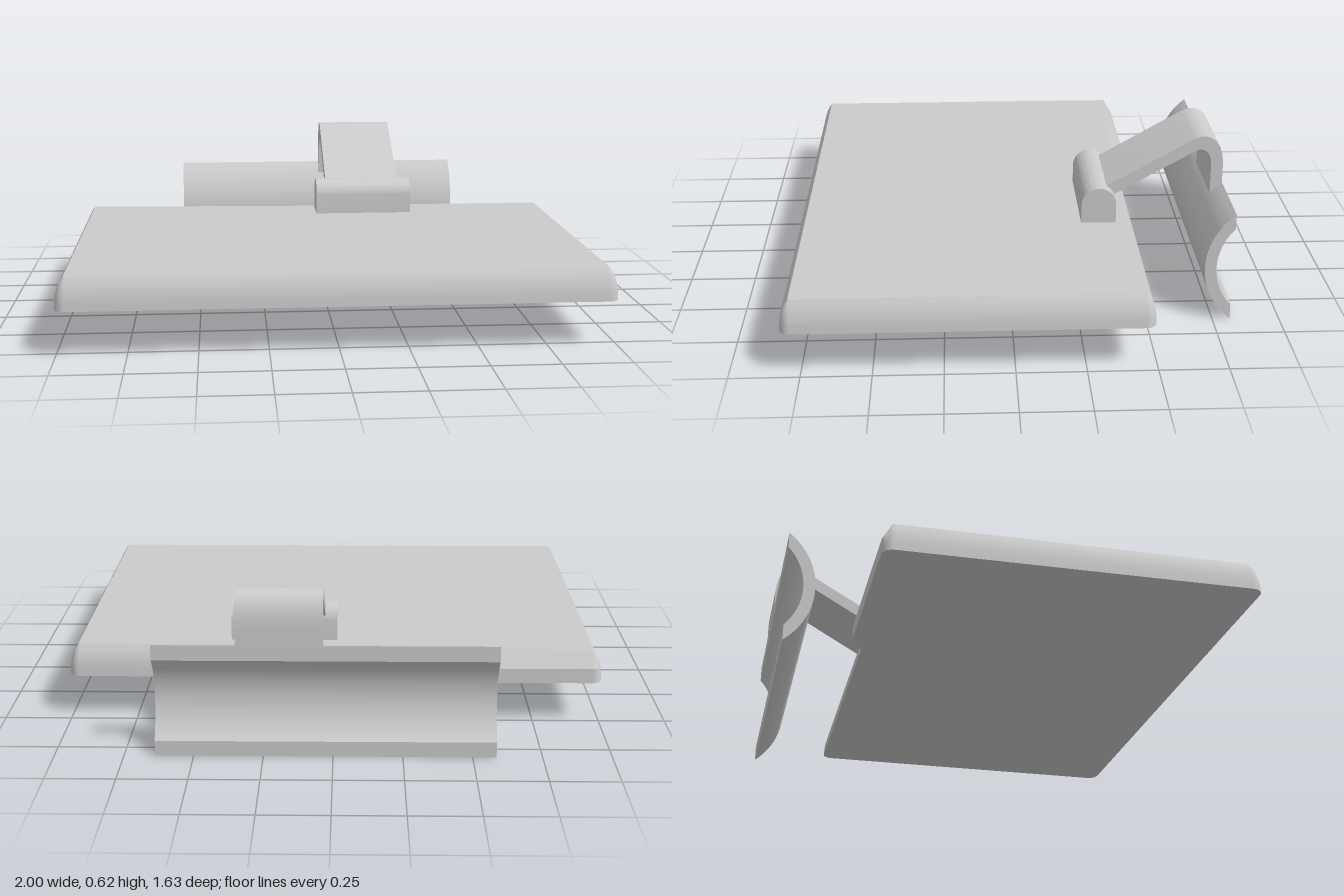
import * as THREE from 'three';
import { toCreasedNormals } from 'three/addons/utils/BufferGeometryUtils.js';

const material = new THREE.MeshStandardMaterial({ color: 0xcccccc });

function addMesh(group, name, geometry) {
  const mesh = new THREE.Mesh(toCreasedNormals(geometry, 0.5), material);
  mesh.name = name;
  group.add(mesh);
}

// Extrudes a side profile drawn as (distance to the back, height) from x0 to x1
function sideExtrude(shape, x0, x1) {
  const g = new THREE.ExtrudeGeometry(shape, { depth: x1 - x0, bevelEnabled: false, curveSegments: 24 });
  return g.rotateY(Math.PI / 2).translate(x0, 0, 0);
}

// Tray: rings lofted from the bottom outline to the smaller top outline
function trayGeometry() {
  const outline = []; // bottom point, top point, whether the edge is a flat chamfer
  const corner = (x, z, start, chamfer = false) => {
    for (let i = 0; i <= 6; i++) {
      const a = start + (i / 6) * Math.PI / 2;
      const c = Math.cos(a), s = -Math.sin(a);
      outline.push({ b: [x + 0.04 * c, z + 0.04 * s], t: [x + 0.005 * c, z + 0.005 * s], chamfer: chamfer && i < 3 });
    }
  };
  corner(-0.96, 0.775, Math.PI);
  corner(0.96, 0.775, Math.PI * 1.5);
  corner(0.96, -0.45, 0);
  outline.push({ b: [-0.2, -0.49], t: [-0.2, -0.455] });
  outline.push({ b: [-0.28, -0.535], t: [-0.28, -0.46], chamfer: true });
  corner(-0.96, -0.495, Math.PI / 2, true);

  // height, inset of a rounded edge, inset of a chamfered edge
  const rings = [
    [0.168, 0, 0], [0.2, 0.05, 0], [0.225, 0.17, 0],
    [0.25, 0.4, 0.42], [0.27, 0.68, 0.75], [0.286, 1, 1],
  ];
  const n = outline.length, positions = [], index = [];
  for (const [y, round, flat] of rings) {
    for (const { b, t, chamfer } of outline) {
      const k = chamfer ? flat : round;
      positions.push(b[0] + (t[0] - b[0]) * k, y, b[1] + (t[1] - b[1]) * k);
    }
  }
  for (let r = 0; r < rings.length - 1; r++) {
    for (let i = 0; i < n; i++) {
      const a = r * n + i, b = r * n + (i + 1) % n;
      index.push(a, b, b + n, a, b + n, a + n);
    }
  }
  // Flat bottom and top
  const cap = key => THREE.ShapeUtils.triangulateShape(
    outline.map(p => new THREE.Vector2(p[key][0], -p[key][1])), []);
  const top = (rings.length - 1) * n;
  for (const [a, b, c] of cap('b')) index.push(a, c, b);
  for (const [a, b, c] of cap('t')) index.push(top + a, top + b, top + c);

  const g = new THREE.BufferGeometry();
  g.setAttribute('position', new THREE.Float32BufferAttribute(positions, 3));
  g.setIndex(index);
  return g;
}

export function createModel() {
  const group = new THREE.Group();
  group.name = 'clipOnTray';

  addMesh(group, 'tray', trayGeometry());

  // Round-topped block on the tray
  const block = new THREE.Shape();
  block.moveTo(0.275, 0.28);
  block.lineTo(0.407, 0.28);
  block.lineTo(0.407, 0.36);
  block.absarc(0.341, 0.36, 0.066, 0, Math.PI, false);
  block.closePath();
  addMesh(group, 'mountBlock', sideExtrude(block, -0.01, 0.39));

  // Bent arm from the block over to the cradle
  const arm = new THREE.Shape();
  arm.moveTo(0.37, 0.39);
  arm.lineTo(0.403, 0.383);
  arm.lineTo(0.707, 0.556);
  arm.bezierCurveTo(0.74, 0.573, 0.77, 0.55, 0.77, 0.49);
  arm.lineTo(0.77, 0.36);
  arm.lineTo(0.815, 0.4);
  arm.lineTo(0.815, 0.486);
  arm.bezierCurveTo(0.815, 0.6, 0.76, 0.635, 0.698, 0.604);
  arm.lineTo(0.374, 0.418);
  arm.closePath();
  addMesh(group, 'arm', sideExtrude(arm, 0.034, 0.343));

  // Curved cradle open to the back, its lips cut upright
  const cz = 0.982, cy = 0.212, outer = 0.27, inner = 0.227, cut = 0.816;
  const ao = Math.acos((cut - cz) / outer), ai = Math.acos((cut - cz) / inner);
  const cradle = new THREE.Shape();
  cradle.absarc(cz, cy, outer, ao, 2 * Math.PI - ao, false);
  cradle.absarc(cz, cy, inner, 2 * Math.PI - ai, ai, true);
  cradle.closePath();
  addMesh(group, 'cradle', sideExtrude(cradle, -0.585, 0.638));

  return group;
}
